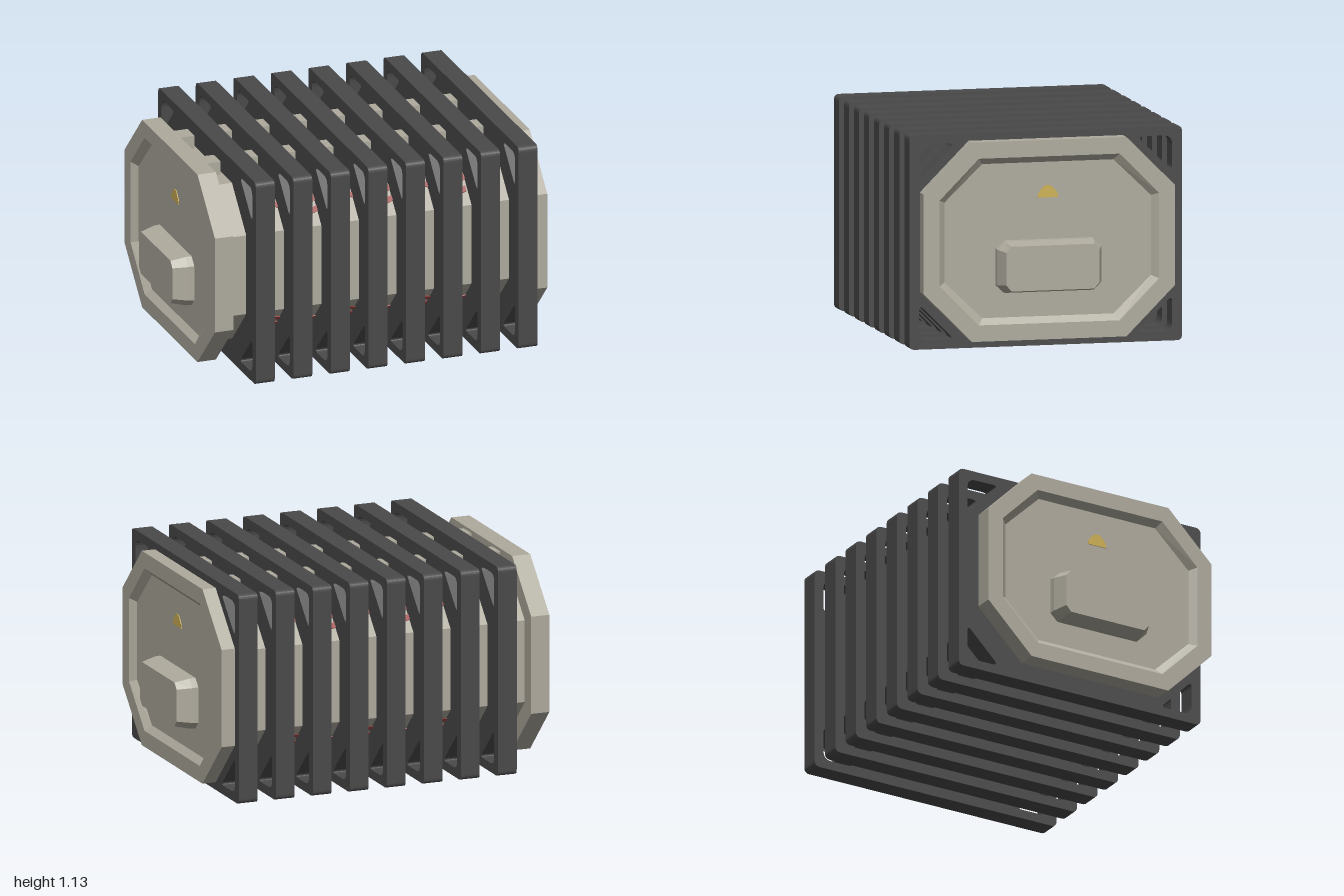
import * as THREE from 'three';

const MID = 0.567; // height of the long axis

const mat = (name, color) => {
  const m = new THREE.MeshStandardMaterial({ color });
  m.name = name;
  return m;
};

// Octagonal sections [x, halfDepth, halfHeight, topFlat, sideFlat] joined along x
function loft(sections) {
  const rings = sections.map(([x, hz, hy, cz, cy]) =>
    [[-hz, -cy], [-hz, cy], [-cz, hy], [cz, hy], [hz, cy], [hz, -cy], [cz, -hy], [-cz, -hy]]
      .map(([z, y]) => [x, y, z]));
  const pos = [];
  const tri = (...pts) => pts.forEach((p) => pos.push(...p));
  const last = rings.length - 1;
  for (let i = 0; i < 8; i++) {
    const j = (i + 1) % 8;
    for (let r = 0; r < last; r++) {
      tri(rings[r][i], rings[r][j], rings[r + 1][j]);
      tri(rings[r][i], rings[r + 1][j], rings[r + 1][i]);
    }
    tri([sections[0][0], 0, 0], rings[0][j], rings[0][i]);
    tri([sections[last][0], 0, 0], rings[last][i], rings[last][j]);
  }
  const g = new THREE.BufferGeometry();
  g.setAttribute('position', new THREE.Float32BufferAttribute(pos, 3));
  g.computeVertexNormals();
  return g;
}

// Closed outline with each corner rounded by its own distance [x, y, r]
function rounded(path, corners) {
  const n = corners.length;
  const toward = (a, b) => {
    const p = new THREE.Vector2(a[0], a[1]);
    const d = new THREE.Vector2(b[0], b[1]).sub(p).setLength(a[2]);
    return p.add(d);
  };
  corners.forEach((c, i) => {
    const a = toward(c, corners[(i + n - 1) % n]);
    const b = toward(c, corners[(i + 1) % n]);
    if (i === 0) path.moveTo(a.x, a.y);
    else path.lineTo(a.x, a.y);
    path.quadraticCurveTo(c[0], c[1], b.x, b.y);
  });
  path.closePath();
  return path;
}

// Frame plate with a rounded triangular hole in each corner
function ribGeometry() {
  const w = 0.733, h = 0.564, r = 0.03;
  const shape = rounded(new THREE.Shape(), [[-w, -h, r], [w, -h, r], [w, h, r], [-w, h, r]]);
  for (const sz of [-1, 1]) for (const sy of [-1, 1]) {
    shape.holes.push(rounded(new THREE.Path(), [
      [sz * 0.68, sy * 0.515, 0.05], [sz * 0.492, sy * 0.515, 0.035], [sz * 0.68, sy * 0.327, 0.035],
    ]));
  }
  const g = new THREE.ExtrudeGeometry(shape, { depth: 0.105, bevelEnabled: false, curveSegments: 6 });
  return g.translate(0, 0, -0.0525).rotateY(Math.PI / 2);
}

// Thin wavy ribbon
function waveGeometry(offset, x0, x1) {
  const n = 48, half = 0.016, pts = [];
  for (let i = 0; i <= n; i++) {
    const x = x0 + ((x1 - x0) * i) / n;
    pts.push([x, offset + 0.038 * Math.cos(((x + 0.565) / 0.415) * Math.PI * 2)]);
  }
  const outline = [
    ...pts.map(([x, y]) => new THREE.Vector2(x, y - half)),
    ...pts.reverse().map(([x, y]) => new THREE.Vector2(x, y + half)),
  ];
  return new THREE.ExtrudeGeometry(new THREE.Shape(outline), { depth: 0.005, bevelEnabled: false });
}

export function createModel() {
  const root = new THREE.Group();
  root.name = 'ribbedContainer';
  const shell = mat('warm grey shell', 0xaeaa9d);
  const dark = mat('dark grey frame', 0x4a4a4b);
  const red = mat('faded red paint', 0xa04a48);
  const yellow = mat('yellow mark', 0xcdb055);

  const add = (parent, name, geo, material, x = 0, y = 0, z = 0) => {
    const m = new THREE.Mesh(geo, material);
    m.name = name;
    m.position.set(x, y, z);
    parent.add(m);
    return m;
  };

  // Octagonal body
  add(root, 'body', loft([
    [-0.83, 0.588, 0.435, 0.375, 0.22], [0.84, 0.588, 0.435, 0.375, 0.22],
  ]), shell, 0, MID);

  // Frames and the small blocks on the roof beside them
  const rib = ribGeometry();
  const block = new THREE.BoxGeometry(0.095, 0.1, 0.104);
  for (let i = 0; i < 8; i++) {
    add(root, 'frameRib', rib, dark, -0.663 + i * 0.2083, 0.566);
    for (const z of [-0.198, 0.193]) {
      add(root, 'roofBlock', block, shell, -0.778 + i * 0.2083, 1.025, z);
    }
  }

  // Wavy stripes on the four slanted faces
  const waves = [waveGeometry(0.031, -0.56, 0.54), waveGeometry(-0.031, -0.575, 0.525)];
  for (const k of [-3, -1, 1, 3]) {
    const a = (k * Math.PI) / 4;
    const stripes = new THREE.Group();
    stripes.name = 'waveStripes';
    stripes.position.set(0, MID - Math.sign(Math.sin(a)) * 0.33, Math.sign(Math.cos(a)) * 0.483);
    stripes.rotation.x = a;
    waves.forEach((g) => add(stripes, 'waveStripe', g, red));
    root.add(stripes);
  }

  // End caps with a sunken panel, a raised handle and a small mark
  const cap = loft([
    [0.82, 0.677, 0.524, 0.415, 0.262], [0.922, 0.677, 0.524, 0.415, 0.262],
    [0.922, 0.59, 0.438, 0.378, 0.225], [0.89, 0.555, 0.405, 0.353, 0.21],
  ]);
  const handle = loft([
    [0.885, 0.282, 0.137, 0.24, 0.096], [0.922, 0.28, 0.135, 0.238, 0.094], [1.0, 0.25, 0.118, 0.222, 0.086],
  ]);
  const markShape = new THREE.Shape();
  markShape.moveTo(-0.055, 0);
  markShape.lineTo(0.055, 0);
  markShape.lineTo(0.052, 0.02);
  markShape.quadraticCurveTo(0.035, 0.05, 0.012, 0.065);
  markShape.lineTo(-0.012, 0.065);
  markShape.quadraticCurveTo(-0.035, 0.05, -0.052, 0.02);
  markShape.closePath();
  const mark = new THREE.ExtrudeGeometry(markShape, { depth: 0.006, bevelEnabled: false });
  mark.rotateY(Math.PI / 2);
  for (const turn of [0, Math.PI]) {
    const end = new THREE.Group();
    end.name = turn ? 'rightEnd' : 'leftEnd';
    end.rotation.y = turn;
    add(end, 'endCap', cap, shell, 0, MID);
    add(end, 'handle', handle, shell, 0, 0.43);
    add(end, 'mark', mark, yellow, 0.888, 0.785);
    root.add(end);
  }
  return root;
}
